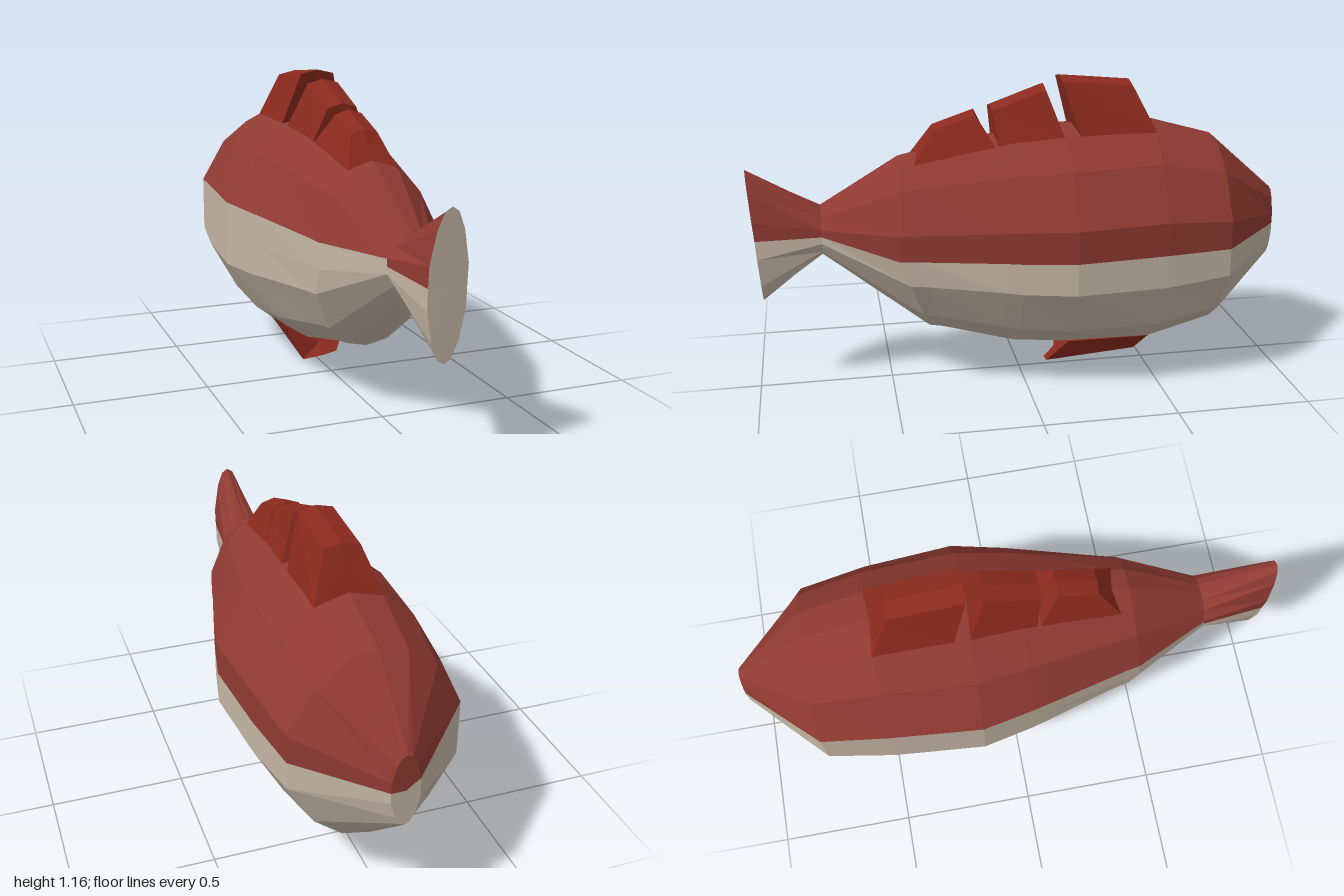
import * as THREE from 'three';

const material = (color) => new THREE.MeshStandardMaterial({ color, flatShading: true, side: THREE.DoubleSide });
const backRed = material(0x8f3a32);
const finRed = material(0x8c2a1e);
const bellyCream = material(0xc4b5a4);

// Joins rows of points (running from +z to -z) over the columns [from, to] and closes the chosen ends.
function loft(rows, from, to, capFront, capBack) {
  const pos = [];
  const n = rows[0].length;
  const tri = (...pts) => pts.forEach((p) => pos.push(p[0], p[1], p[2]));
  const centre = (row) => [0, 1, 2].map((k) => row.reduce((s, p) => s + p[k], 0) / n);
  const first = rows[0], last = rows[rows.length - 1];
  for (let j = from; j < to; j++) {
    const u = j % n, v = (j + 1) % n;
    for (let i = 0; i < rows.length - 1; i++) {
      const a = rows[i][u], b = rows[i][v], c = rows[i + 1][v], d = rows[i + 1][u];
      tri(a, b, c);
      tri(a, c, d);
    }
    if (capFront) tri(centre(first), first[v], first[u]);
    if (capBack) tri(centre(last), last[u], last[v]);
  }
  const geo = new THREE.BufferGeometry();
  geo.setAttribute('position', new THREE.Float32BufferAttribute(pos, 3));
  geo.computeVertexNormals();
  return geo;
}

// Unit outline of the body, clockwise from the top as seen from +z
const quarter = [[0, 1], [0.35, 0.94], [0.69, 0.72], [1, 0.285], [1, 0]];
const half = [...quarter, ...quarter.slice(0, 4).reverse().map(([x, y]) => [x, -y])];
const outline = [...half, ...half.slice(1, 8).reverse().map(([x, y]) => [-x, y])];

// Ring from: z at middle, top and bottom, half width, lowest and highest y
function ring([zMid, zTop, zBot, w, y0, y1]) {
  const cy = (y0 + y1) / 2, h = (y1 - y0) / 2;
  return outline.map(([x, y]) => [
    x * w, cy + y * h, zMid + (y > 0 ? (zTop - zMid) * y : (zBot - zMid) * -y),
  ]);
}

export function createModel() {
  const group = new THREE.Group();
  const add = (name, geo, mat) => {
    const mesh = new THREE.Mesh(geo, mat);
    mesh.name = name;
    group.add(mesh);
  };

  // Body from the tail root to the snout
  const body = [
    [0.74, 0.74, 0.74, 0.095, 0.53, 0.71],
    [0.47, 0.445, 0.35, 0.225, 0.22, 0.885],
    [0.41, 0.40, 0.30, 0.237, 0.212, 0.895],
    [0.10, 0.10, 0.10, 0.315, 0.16, 0.95],
    [0.04, 0.04, 0.04, 0.33, 0.145, 0.962],
    [-0.15, -0.15, -0.15, 0.37, 0.13, 0.98],
    [-0.49, -0.49, -0.49, 0.342, 0.12, 0.99],
    [-0.74, -0.74, -0.74, 0.305, 0.185, 0.92],
    [-1, -1, -1, 0.05, 0.42, 0.69],
  ].map(ring);
  // The red back reaches lower on the +x flank
  add('back', loft(body, 13, 20, false, true), backRed);
  add('belly', loft(body, 4, 13, false, true), bellyCream);

  // Flared tail with a pale end face
  const tail = [
    [0.98, 1.0, 0.965, 0.066, 0.355, 0.86],
    [0.74, 0.74, 0.74, 0.095, 0.53, 0.71],
  ].map(ring);
  add('upperTail', loft(tail, 12, 20, false, false), backRed);
  add('lowerTail', loft(tail, 4, 12, false, false), bellyCream);
  add('tailEnd', loft([tail[0], tail[0]], 0, 16, true, false), bellyCream);

  // Three dorsal fins; each end: base z, y, half width, then top z, y, half width
  const finEnd = ([bz, by, bw, tz, ty, tw]) => [
    [-bw, by, bz], [-tw, ty, tz], [0, ty + 0.015, tz], [tw, ty, tz], [bw, by, bz],
  ];
  [
    [[0.40, 0.87, 0.09, 0.32, 0.985, 0.05], [0.10, 0.92, 0.11, 0.17, 1.035, 0.05]],
    [[0.09, 0.92, 0.11, 0.11, 1.05, 0.055], [-0.15, 0.95, 0.125, -0.09, 1.12, 0.06]],
    [[-0.21, 0.95, 0.125, -0.15, 1.15, 0.065], [-0.495, 0.96, 0.125, -0.415, 1.125, 0.065]],
  ].forEach((ends, i) => add(`dorsalFin${i + 1}`, loft(ends.map(finEnd), 0, 5, true, true), finRed));

  // Belly fin, dipping lower on the -x side
  const bellyFin = [
    [[0.13, 0.15, -0.17], [0.06, 0.045, -0.1], [0, 0.033, -0.1], [-0.06, 0.003, -0.16], [-0.13, 0.15, -0.17]],
    [[0.12, 0.145, -0.49], [0.06, 0.07, -0.45], [0, 0.06, -0.45], [-0.06, 0.07, -0.45], [-0.12, 0.145, -0.49]],
  ];
  add('bellyFin', loft(bellyFin, 0, 5, true, true), finRed);

  return group;
}
